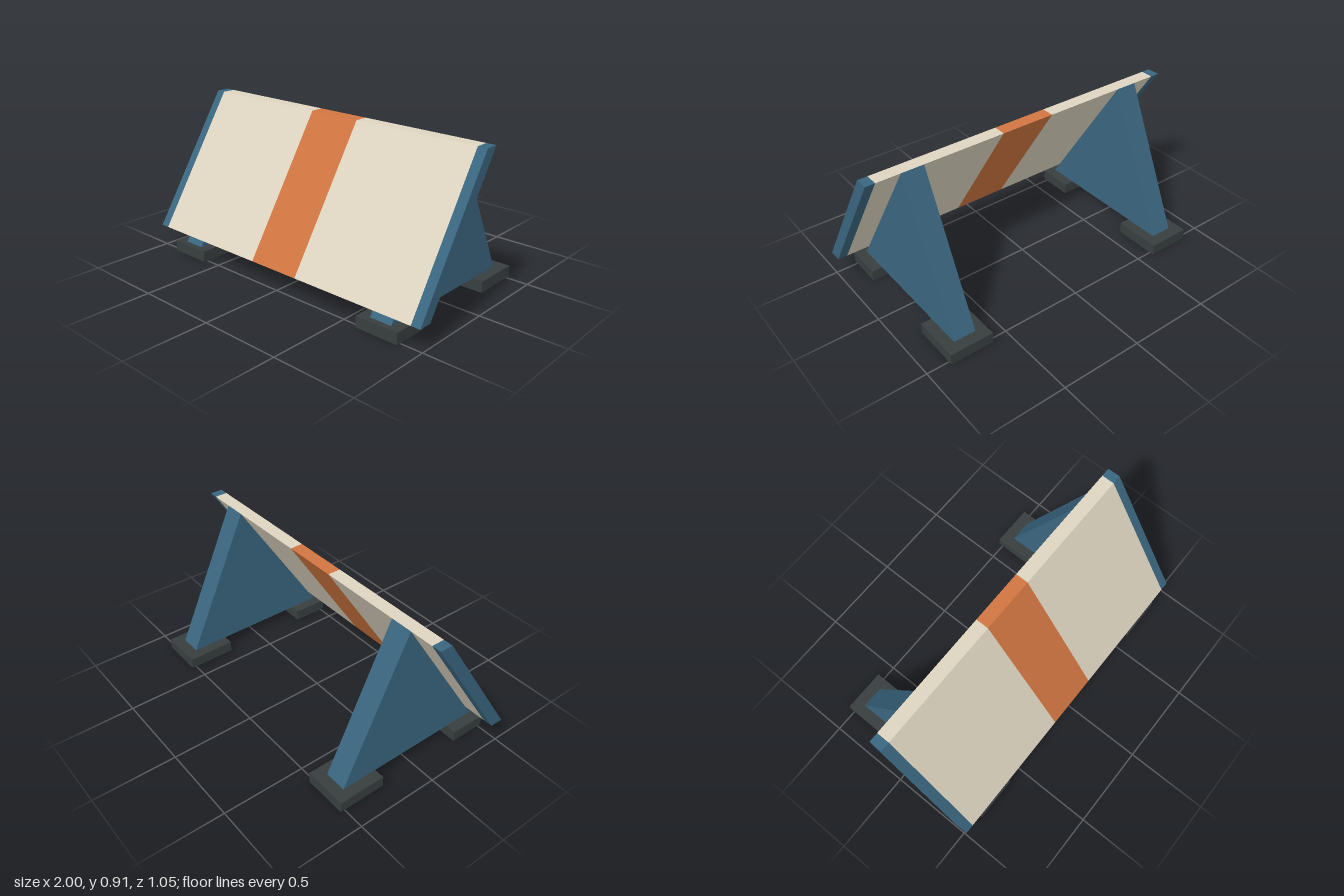
import * as THREE from 'three';

const paint = (color) => new THREE.MeshStandardMaterial({ color, flatShading: true });

// Extrude a side profile of [z, y] points along x, from x0 to x1
function slab(name, profile, x0, x1, material) {
  const shape = new THREE.Shape(profile.map(([z, y]) => new THREE.Vector2(-z, y)));
  const geometry = new THREE.ExtrudeGeometry(shape, { depth: x1 - x0, bevelEnabled: false });
  geometry.rotateY(Math.PI / 2).translate(x0, 0, 0);
  const mesh = new THREE.Mesh(geometry, material);
  mesh.name = name;
  return mesh;
}

export function createModel() {
  const group = new THREE.Group();
  group.name = 'slopedBarrier';
  const blue = paint(0x3a6680);
  const cream = paint(0xddd5c0);
  const orange = paint(0xd07540);
  const dark = paint(0x383e3e);

  // Leaning panel: centre stripe, and on each side a plain field and an end cap
  const panel = [[0.525, 0.135], [0.445, 0.135], [-0.055, 0.912], [0.023, 0.912]];
  group.add(slab('centreStripe', panel, -0.167, 0.167, orange));
  const wedge = [[0.49, 0.067], [-0.455, 0.067], [-0.055, 0.912]];

  for (const side of [-1, 1]) {
    const add = (name, profile, a, b, material) =>
      group.add(slab(name, profile, side > 0 ? a : -b, side > 0 ? b : -a, material));
    add('panelField', panel, 0.167, 0.943, cream);
    add('panelEndCap', panel, 0.943, 1, blue);

    // Triangular support behind the panel
    add('support', wedge, 0.665, 0.8, blue);

    // Front and back foot pads
    for (const [name, z0, z1] of [['frontFoot', 0.303, 0.525], ['backFoot', -0.525, -0.235]]) {
      const foot = new THREE.Mesh(new THREE.BoxGeometry(0.265, 0.067, z1 - z0), dark);
      foot.position.set(side * 0.7325, 0.0335, (z0 + z1) / 2);
      foot.name = name;
      group.add(foot);
    }
  }
  return group;
}
